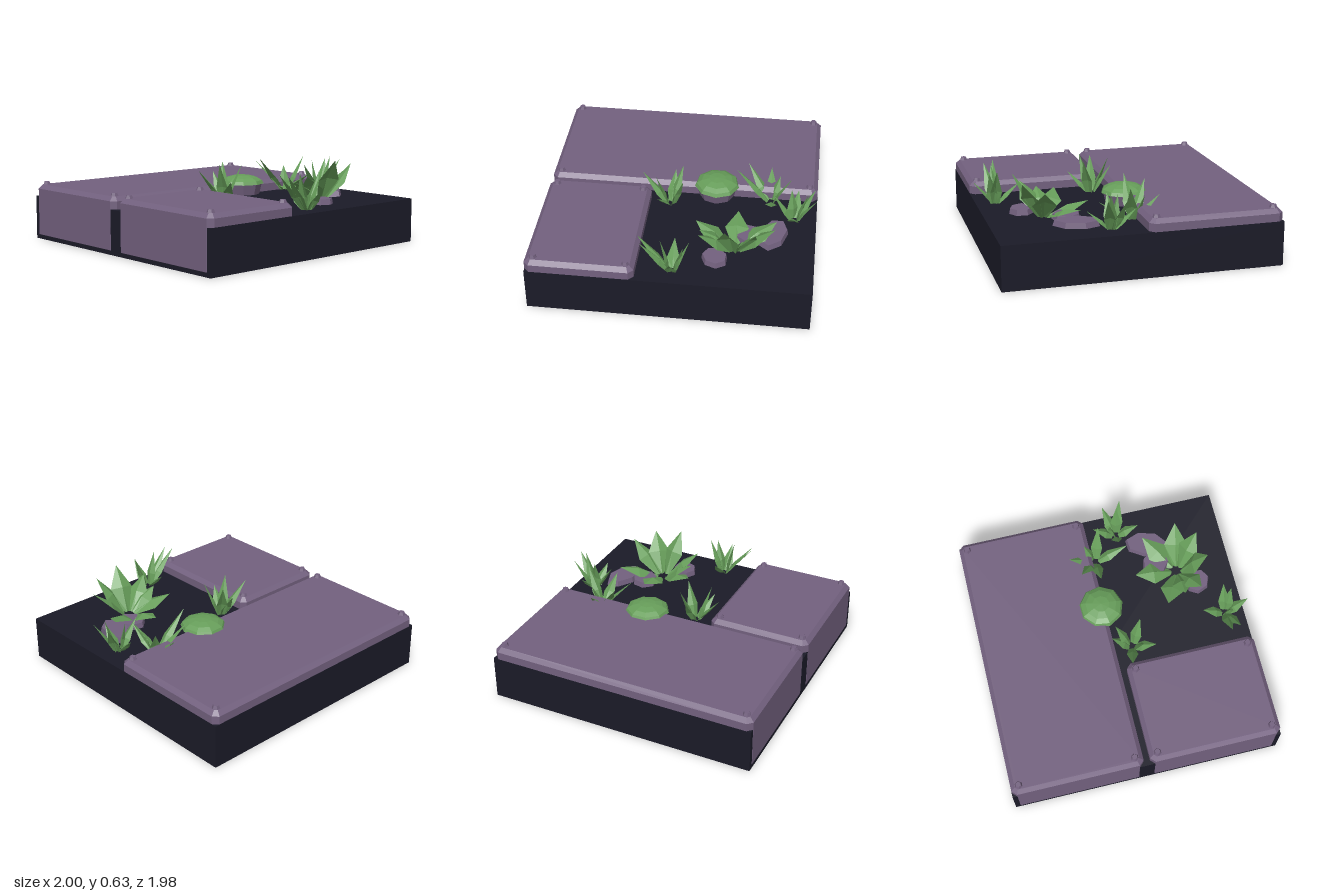
import * as THREE from 'three';

const mat = (name, color, extra = {}) => Object.assign(new THREE.MeshStandardMaterial({ color, flatShading: true, ...extra }), { name });

export function createModel() {
  const group = new THREE.Group();
  const soil = mat('dark base', 0x1b1b28);
  const stone = mat('purple stone', 0x73617f);
  const leaf = mat('leaf green', 0x679e5a, { side: THREE.DoubleSide });

  function add(name, geometry, material, x = 0, y = 0, z = 0) {
    const mesh = new THREE.Mesh(geometry, material);
    mesh.name = name;
    mesh.position.set(x, y, z);
    group.add(mesh);
    return mesh;
  }

  // Base block
  add('base', new THREE.BoxGeometry(1.98, 0.32, 1.98), soil, -0.01, 0.16, 0);

  // Chamfered stone slab with a hexagonal bolt near each corner
  function slab(name, x0, x1, z0, z1) {
    const c = 0.03, k = 0.018, y0 = 0.003, top = 0.408;
    const w = (x1 - x0) / 2 - c, d = (z1 - z0) / 2 - c;
    const shape = new THREE.Shape([
      [-w + k, -d], [w - k, -d], [w, -d + k], [w, d - k],
      [w - k, d], [-w + k, d], [-w, d - k], [-w, -d + k],
    ].map(([x, y]) => new THREE.Vector2(x, y)));
    const geo = new THREE.ExtrudeGeometry(shape, {
      depth: top - y0 - 2 * c, bevelEnabled: true, bevelSize: c, bevelThickness: c, bevelSegments: 1,
    });
    geo.rotateX(-Math.PI / 2);
    add(name, geo, stone, (x0 + x1) / 2, y0 + c, (z0 + z1) / 2);
    for (const x of [x0 + 0.06, x1 - 0.06]) {
      for (const z of [z0 + 0.06, z1 - 0.06]) {
        add('bolt', new THREE.CylinderGeometry(0.02, 0.032, 0.03, 6), stone, x, top + 0.008, z);
      }
    }
  }
  slab('longSlab', -0.998, -0.035, -0.988, 0.992);
  slab('shortSlab', 0.012, 0.978, 0.23, 0.992);

  // Flat rocks around the large plant: x, z, half sizes, turn
  for (const [x, z, rx, rz, turn] of [
    [0.4, -0.69, 0.17, 0.1, -0.3],
    [0.43, -0.52, 0.11, 0.1, 0.5],
    [0.7, -0.3, 0.1, 0.09, 0.8],
  ]) {
    const rock = add('rock', new THREE.CylinderGeometry(0.9, 1, 1, 7), stone, x, 0.335, z);
    rock.scale.set(rx, 0.05, rz);
    rock.rotation.y = turn;
  }

  // Boulder at the edge of the long slab, capped with moss
  const boulder = add('boulder', new THREE.CylinderGeometry(0.152, 0.13, 0.09, 9), stone, -0.06, 0.36, -0.245);
  const moss = add('moss', new THREE.SphereGeometry(1, 9, 4, 0, Math.PI * 2, 0, Math.PI / 2), leaf, -0.06, 0.4, -0.245);
  moss.scale.set(0.165, 0.065, 0.165);
  boulder.rotation.y = 0.2;
  moss.rotation.y = 0.2 + Math.PI / 2;

  // Folded leaf: root, widest part, pointed tip, raised centre crease
  function blade(name, root, tip, width, rootWidth, widest, fold) {
    const along = tip.clone().sub(root);
    const flat = new THREE.Vector3(along.x, 0, along.z).normalize();
    const side = new THREE.Vector3(-flat.z, 0, flat.x);
    const up = side.clone().cross(along).normalize();
    if (up.y < 0) up.negate();
    const row = (t, w, h) => {
      const p = root.clone().addScaledVector(along, t);
      return [
        p.clone().addScaledVector(side, -w),
        p.clone().addScaledVector(up, h),
        p.clone().addScaledVector(side, w),
      ];
    };
    const a = row(0, rootWidth, fold * 0.4), b = row(widest, width, fold);
    const faces = [
      a[0], a[1], b[0], a[1], b[1], b[0], a[1], a[2], b[1], a[2], b[2], b[1],
      b[0], b[1], tip, b[1], b[2], tip,
    ];
    const geo = new THREE.BufferGeometry().setFromPoints(faces);
    geo.computeVertexNormals();
    add(name, geo, leaf);
  }

  // Plant: a ring of blades from one centre to tips given as x, y, z
  function plant(name, cx, cz, tips, spread, ...form) {
    for (const [x, y, z] of tips) {
      const tip = new THREE.Vector3(x, y, z);
      const out = new THREE.Vector3(x - cx, 0, z - cz).normalize().multiplyScalar(spread);
      blade(name, new THREE.Vector3(cx + out.x, 0.315, cz + out.z), tip, ...form);
    }
  }

  plant('broadLeaf', 0.57, -0.43, [
    [0.62, 0.56, -0.71], [0.75, 0.6, -0.58], [0.78, 0.63, -0.37], [0.69, 0.52, -0.18],
    [0.57, 0.47, -0.18], [0.43, 0.44, -0.14], [0.25, 0.41, -0.43], [0.37, 0.43, -0.71],
  ], 0.04, 0.085, 0.02, 0.52, 0.03);

  const grass = [0.025, 0.043, 0.026, 0.36, 0.02];
  plant('backGrass', 0.19, -0.83, [
    [0.02, 0.46, -0.85], [0.12, 0.55, -0.97], [0.26, 0.56, -0.99], [0.22, 0.58, -0.92],
    [0.36, 0.45, -0.81], [0.18, 0.53, -0.67], [0.14, 0.55, -0.8],
  ], ...grass);
  plant('edgeGrass', -0.01, -0.65, [
    [-0.21, 0.48, -0.64], [-0.15, 0.55, -0.47], [-0.02, 0.58, -0.39], [0.24, 0.46, -0.66],
    [0.05, 0.58, -0.8], [-0.08, 0.5, -0.71],
  ], ...grass);
  plant('middleGrass', 0.1, 0.08, [
    [-0.05, 0.52, 0.06], [-0.01, 0.59, 0], [0.18, 0.58, -0.02],
    [0.26, 0.47, 0.16], [0.05, 0.55, 0.29], [0.16, 0.59, 0.18],
  ], ...grass);
  plant('sideGrass', 0.84, -0.02, [
    [0.66, 0.46, -0.02], [0.84, 0.58, -0.14], [1, 0.49, -0.02], [0.81, 0.58, 0.22],
    [0.88, 0.57, 0.2], [0.89, 0.56, -0.1], [0.85, 0.58, 0.06],
  ], ...grass);

  return group;
}
